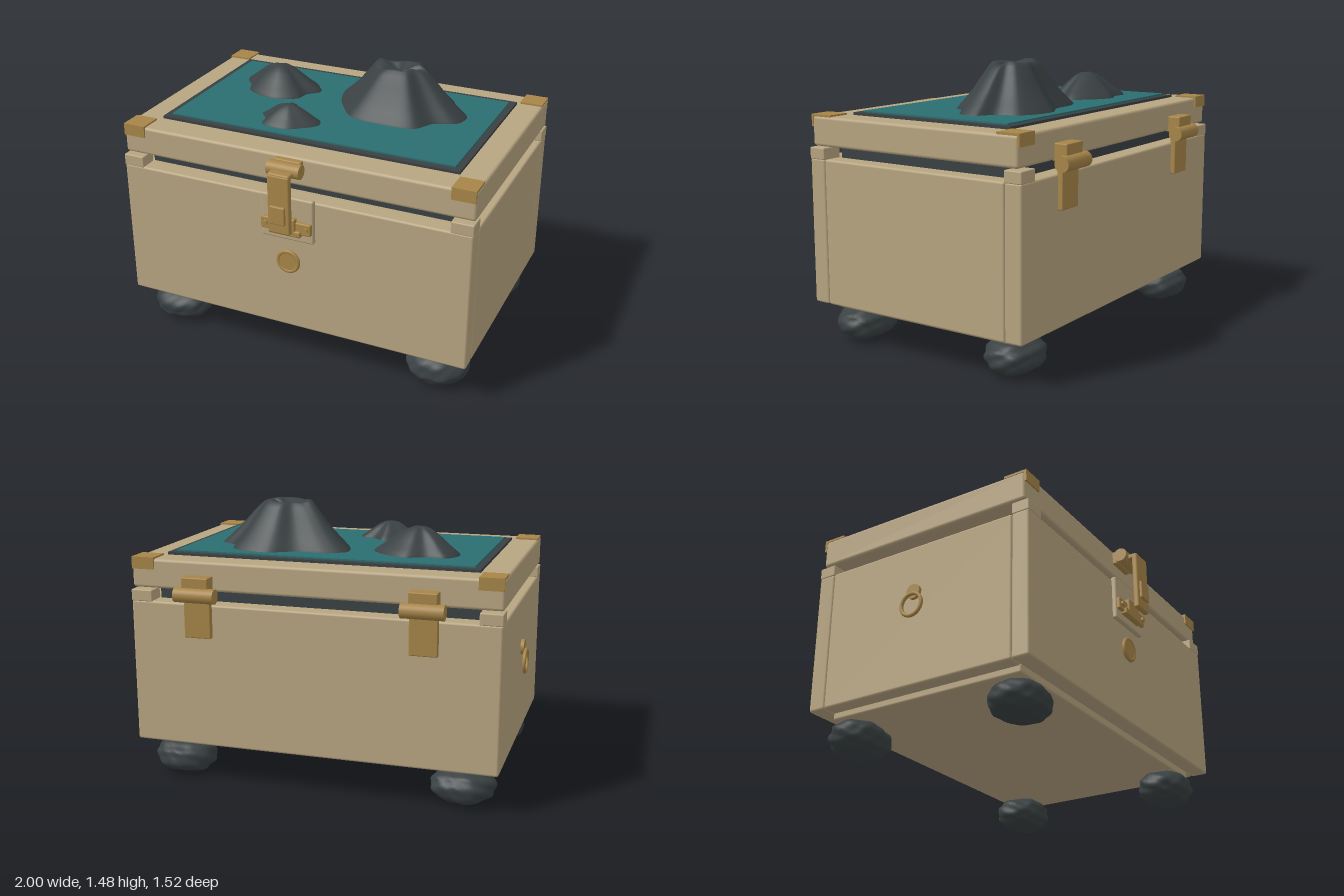
import * as THREE from 'three';
import { RoundedBoxGeometry } from 'three/addons/geometries/RoundedBoxGeometry.js';
import { mergeVertices } from 'three/addons/utils/BufferGeometryUtils.js';

const material = (name, color) => Object.assign(new THREE.MeshStandardMaterial({ color }), { name });

export function createModel() {
  const model = new THREE.Group();
  const tan = material('tan wood', 0xb8a581);
  const brass = material('brass', 0xa78548);
  const stone = material('dark stone', 0x3a4143);
  const teal = material('teal', 0x2b6e70);

  const add = (name, geometry, mat, x = 0, y = 0, z = 0) => {
    const mesh = new THREE.Mesh(geometry, mat);
    mesh.name = name;
    mesh.position.set(x, y, z);
    model.add(mesh);
    return mesh;
  };
  // Box between two corners, with softened edges when r > 0
  const box = (name, mat, [x0, x1], [y0, y1], [z0, z1], r = 0) => {
    const w = x1 - x0, h = y1 - y0, d = z1 - z0;
    const g = r ? new RoundedBoxGeometry(w, h, d, 2, r) : new THREE.BoxGeometry(w, h, d);
    return add(name, g, mat, (x0 + x1) / 2, (y0 + y1) / 2, (z0 + z1) / 2);
  };
  // Cylinder lying along x or z
  const rod = (name, mat, axis, r, length, x, y, z) => {
    const g = new THREE.CylinderGeometry(r, r, length, 28);
    if (axis === 'x') g.rotateZ(Math.PI / 2); else g.rotateX(Math.PI / 2);
    return add(name, g, mat, x, y, z);
  };

  // Chest body
  box('bottomPlate', tan, [-0.885, 0.915], [0.185, 0.23], [-0.585, 0.54], 0.01);
  box('bodyCore', tan, [-0.94, 0.97], [0.23, 0.985], [-0.6, 0.55]);
  box('frontWall', tan, [-0.965, 0.995], [0.22, 0.99], [0.536, 0.633], 0.012);
  box('backWall', tan, [-0.965, 0.995], [0.22, 0.99], [-0.68, -0.583], 0.012);
  box('leftWall', tan, [0.9, 0.995], [0.22, 0.99], [-0.583, 0.536], 0.012);
  box('rightWall', tan, [-0.965, -0.87], [0.22, 0.99], [-0.583, 0.536], 0.012);
  box('gasket', stone, [-0.85, 0.88], [0.98, 1.047], [-0.567, 0.522]);

  // Lid with raised framed panel
  box('lid', tan, [-0.965, 0.995], [1.055, 1.21], [-0.66, 0.61], 0.016);
  box('panelFrame', stone, [-0.82, 0.855], [1.2, 1.224], [-0.52, 0.455]);
  box('panel', teal, [-0.785, 0.82], [1.21, 1.232], [-0.482, 0.417]);

  // Corner blocks on the body, brass brackets on the lid
  for (const sx of [-1, 1]) for (const sz of [-1, 1]) {
    const span = (c, s, outer, inner) => [c + s * outer, c + s * inner].sort((a, b) => a - b);
    const bx = span(0.015, sx, 0.981, 0.863), px = span(0.015, sx, 0.977, 0.853);
    box('cornerBlock', tan, bx, [0.985, 1.047], span(-0.023, sz, 0.657, 0.56), 0.006);
    box('bracketTop', brass, px, [1.207, 1.219], span(-0.025, sz, 0.641, 0.515));
    box('bracketFlap', brass, px, [1.155, 1.219], span(-0.025, sz, 0.643, 0.63));
  }

  // Front latch
  box('latchPlate', tan, [-0.13, 0.165], [0.76, 1.005], [0.625, 0.658], 0.01);
  box('latchBase', brass, [-0.075, 0.105], [0.8, 0.835], [0.65, 0.69], 0.008);
  box('latchLugs', brass, [-0.125, 0.158], [0.812, 0.88], [0.65, 0.676], 0.008);
  for (const x of [-0.098, 0.131]) rod('latchRivet', brass, 'z', 0.014, 0.02, x, 0.846, 0.678);
  box('latchCatch', brass, [-0.04, 0.075], [0.82, 0.9], [0.655, 0.69], 0.008);
  box('latchStrap', brass, [-0.045, 0.077], [0.837, 1.16], [0.715, 0.748], 0.01);
  box('latchArm', brass, [-0.045, 0.077], [1.138, 1.168], [0.645, 0.745], 0.01);
  box('latchTab', brass, [-0.028, 0.056], [0.895, 0.995], [0.74, 0.762], 0.006);
  rod('latchPivot', brass, 'x', 0.038, 0.18, 0.015, 1.162, 0.662);
  box('latchMount', brass, [-0.06, 0.09], [1.125, 1.2], [0.6, 0.64], 0.008);

  // Round boss under the latch
  rod('bossDisc', brass, 'z', 0.055, 0.026, 0.015, 0.627, 0.642);
  add('bossRing', new THREE.TorusGeometry(0.057, 0.011, 10, 40), brass, 0.015, 0.627, 0.648);

  // Back hinges
  for (const x of [-0.58, 0.613]) {
    rod('hingePin', brass, 'x', 0.039, 0.22, x, 1.045, -0.722);
    box('hingeUpperLeaf', brass, [x - 0.073, x + 0.073], [1.05, 1.138], [-0.73, -0.645], 0.006);
    box('hingeLowerLeaf', brass, [x - 0.073, x + 0.073], [0.815, 1.03], [-0.707, -0.675], 0.006);
  }

  // Pull ring on the right side
  rod('ringMount', brass, 'x', 0.04, 0.022, -0.972, 0.722, -0.033);
  const ring = add('pullRing', new THREE.TorusGeometry(0.06, 0.01, 10, 40), brass, -0.99, 0.645, -0.033);
  ring.rotation.y = Math.PI / 2;

  // Rough stone feet
  const foot = seed => {
    let g = new THREE.IcosahedronGeometry(1, 9);
    g.deleteAttribute('normal');
    g.deleteAttribute('uv');
    g = mergeVertices(g);
    const p = g.attributes.position, v = new THREE.Vector3();
    for (let i = 0; i < p.count; i++) {
      v.fromBufferAttribute(p, i);
      const k = 0.97 + 0.035 * Math.sin(5 * v.x + seed) * Math.cos(4 * v.z - seed)
        + 0.022 * Math.sin(9 * v.y + 7 * v.z + 2 * seed) + 0.015 * Math.sin(13 * v.x - 8 * v.y + seed);
      // Slightly squared ellipsoid
      v.set(...v.toArray().map(c => Math.sign(c) * Math.abs(c) ** 0.92)).multiplyScalar(k);
      p.setXYZ(i, v.x * 0.172, v.y * 0.097, v.z * 0.147);
    }
    g.computeVertexNormals();
    return g;
  };
  [[-0.757, 0.457], [0.79, 0.457], [-0.757, -0.507], [0.79, -0.507]].forEach(([x, z], i) =>
    add('foot', foot(i * 1.7), stone, x, 0.1, z));

  // Mounds: a lobed outline shrunk toward the peak along a [radius, height] profile
  const mound = (name, [cx, cz], outline, profile, wobble) => {
    const n = 84, base = 1.226, pos = [], idx = [];
    const curve = new THREE.CatmullRomCurve3(outline.map(([x, z]) => new THREE.Vector3(x, 0, z)), true);
    const rim = curve.getPoints(n).slice(0, n);
    profile.forEach(([t, h], j) => rim.forEach((p, i) => {
      const a = i / n * Math.PI * 2;
      const dy = wobble * (Math.sin(3 * a + 1) + 0.6 * Math.sin(5 * a)) * Math.max(0, 1 - Math.abs(t - 0.34) * 3.2);
      pos.push(cx + (p.x - cx) * t, base + h + (t > 0 ? dy : 0), cz + (p.z - cz) * t);
      if (j) {
        const o = (j - 1) * n, q = j * n, k = (i + 1) % n;
        idx.push(o + i, o + k, q + k, o + i, q + k, q + i);
      }
    }));
    const g = new THREE.BufferGeometry();
    g.setAttribute('position', new THREE.Float32BufferAttribute(pos, 3));
    g.setIndex(idx);
    g.computeVertexNormals();
    add(name, g, stone);
  };
  mound('craterMound', [0.3, -0.16],
    [[-0.07, -0.3], [-0.05, -0.16], [0.03, -0.02], [0.11, 0.07], [0.3, 0.1], [0.48, 0.08], [0.545, -0.02],
      [0.665, -0.08], [0.68, -0.19], [0.59, -0.25], [0.54, -0.37], [0.34, -0.43], [0.19, -0.36], [0.03, -0.35]],
    [[1, 0], [0.97, 0.015], [0.85, 0.055], [0.7, 0.11], [0.55, 0.175], [0.43, 0.226], [0.37, 0.246], [0.31, 0.25],
      [0.24, 0.242], [0.14, 0.226], [0.02, 0.22]], 0.008);
  const peak = h => [[1, 0], [0.96, 0.12], [0.8, 0.3], [0.6, 0.56], [0.42, 0.78], [0.25, 0.93], [0.12, 0.99], [0.01, 1]]
    .map(([t, y]) => [t, y * h]);
  mound('mediumMound', [-0.43, -0.17],
    [[-0.66, -0.21], [-0.6, -0.13], [-0.565, -0.05], [-0.385, 0.01], [-0.26, -0.05], [-0.245, -0.12],
      [-0.187, -0.19], [-0.245, -0.28], [-0.395, -0.36], [-0.5, -0.32], [-0.61, -0.32]], peak(0.143), 0.003);
  mound('smallMound', [-0.17, 0.24],
    [[-0.345, 0.215], [-0.3, 0.27], [-0.28, 0.345], [-0.14, 0.365], [-0.065, 0.32], [0.005, 0.25],
      [-0.01, 0.19], [-0.085, 0.16], [-0.155, 0.103], [-0.245, 0.145], [-0.32, 0.187]], peak(0.098), 0.002);

  return model;
}
